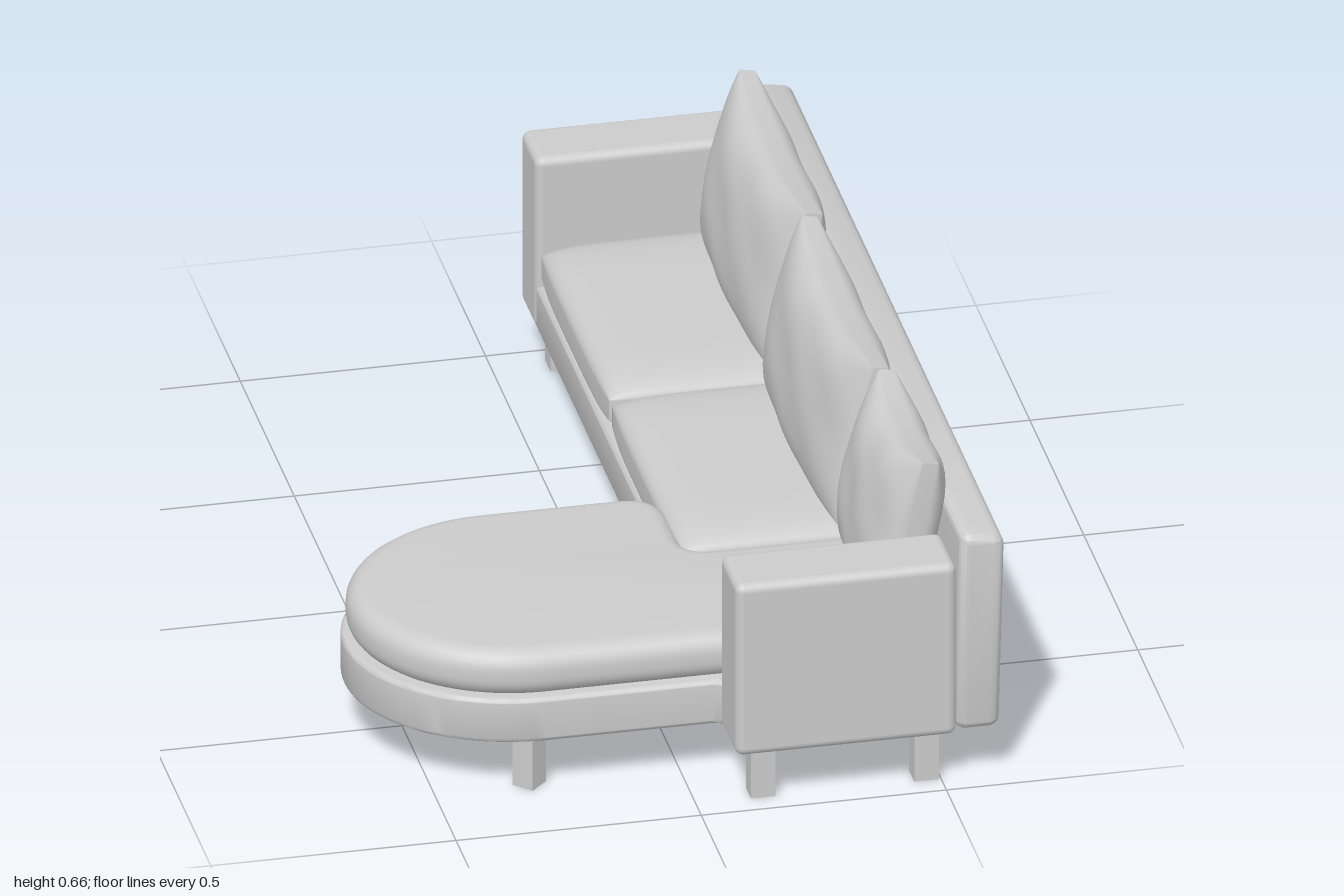
import * as THREE from 'three';
import { RoundedBoxGeometry } from 'three/addons/geometries/RoundedBoxGeometry.js';
import { mergeVertices, toCreasedNormals } from 'three/addons/utils/BufferGeometryUtils.js';

const material = new THREE.MeshStandardMaterial({ color: 0xcccccc });

function add(group, name, geometry, x = 0, y = 0, z = 0) {
  const mesh = new THREE.Mesh(geometry, material);
  mesh.name = name;
  mesh.position.set(x, y, z);
  group.add(mesh);
  return mesh;
}

// Stuffed cushion in the XY plane, thickest in the middle along Z.
// power: flatness of the faces, pinch: corner shape, sag: dip of the top edge
function cushion(w, h, t, { power, edge, pinch = 0, sag = 0, wrinkle = 0 }) {
  let g = new THREE.BoxGeometry(2, 2, 2, 32, 32, 2);
  g.deleteAttribute('uv');
  g.deleteAttribute('normal');
  g = mergeVertices(g);
  const p = g.attributes.position;
  for (let i = 0; i < p.count; i++) {
    const u = Math.sin(p.getX(i) * Math.PI / 2);
    const v = Math.sin(p.getY(i) * Math.PI / 2);
    const swell = Math.sqrt(Math.max(0, (1 - Math.abs(u) ** power) * (1 - Math.abs(v) ** power)));
    const fold = 1 + wrinkle * Math.sin(u * 7 + v * 2) * Math.cos(v * 4 - u);
    const z = p.getZ(i) * (edge + (t / 2 - edge) * swell * fold);
    const dip = v > 0 ? sag * (1 - u * u) * v * v : 0;
    p.setXYZ(i, u * w / 2 * (1 - pinch * v ** 4), v * h / 2 * (1 - pinch * u ** 4) - dip, z);
  }
  g.computeVertexNormals();
  return g;
}

// Plan outline (x, z) extruded upwards from y0 to y1 with rounded edges
function slab(shape, y0, y1, bevel) {
  const g = new THREE.ExtrudeGeometry(shape, {
    depth: y1 - y0 - 2 * bevel, bevelEnabled: true, bevelSize: bevel, bevelThickness: bevel,
    bevelOffset: -bevel, bevelSegments: 6, curveSegments: 24,
  });
  g.rotateX(Math.PI / 2).translate(0, y1 - bevel, 0);
  return toCreasedNormals(g, 0.6);
}

// Rounded chaise end, running from its far side round to its near side
function chaiseEnd(shape, tip, z0, z1) {
  const cx = -0.28;
  shape.lineTo(cx, z1);
  shape.absellipse(cx, (z0 + z1) / 2, cx - tip, (z1 - z0) / 2, Math.PI / 2, Math.PI * 1.5, false, 0);
}

export function createModel() {
  const sofa = new THREE.Group();
  sofa.name = 'chaiseSofa';

  // Base frame with chaise
  const base = new THREE.Shape();
  base.moveTo(0.075, -0.88);
  base.lineTo(0.54, -0.88);
  base.lineTo(0.54, 0.87);
  base.lineTo(0.09, 0.87);
  base.quadraticCurveTo(0.075, 0.85, 0.05, 0.85);
  chaiseEnd(base, -0.625, 0.21, 0.85);
  base.lineTo(0.03, 0.21);
  base.quadraticCurveTo(0.075, 0.21, 0.075, 0.165);
  base.closePath();
  add(sofa, 'base', slab(base, 0.12, 0.218, 0.01));

  // L-shaped chaise cushion
  const seat = new THREE.Shape();
  seat.moveTo(0.52, 0.465);
  seat.lineTo(0.52, 0.848);
  chaiseEnd(seat, -0.615, 0.215, 0.848);
  seat.lineTo(0.0, 0.215);
  seat.quadraticCurveTo(0.09, 0.22, 0.09, 0.31);
  seat.lineTo(0.09, 0.41);
  seat.quadraticCurveTo(0.09, 0.465, 0.145, 0.465);
  seat.closePath();
  add(sofa, 'chaiseCushion', slab(seat, 0.216, 0.318, 0.042));

  // Seat cushions
  for (const [z0, z1] of [[-0.862, -0.21], [-0.205, 0.457]]) {
    const g = cushion(0.46, z1 - z0, 0.125, { power: 6, edge: 0.022, pinch: 0.035 });
    g.rotateX(-Math.PI / 2);
    add(sofa, 'seatCushion', g, 0.303, 0.27, (z0 + z1) / 2);
  }

  // Leaning back cushions
  for (const [z0, z1, x] of [[-0.862, -0.232, 0.467], [-0.23, 0.438, 0.455], [0.442, 0.855, 0.465]]) {
    const g = cushion(z1 - z0, 0.365, 0.16, { power: 2.6, edge: 0.016, pinch: 0.01, sag: 0.026, wrinkle: 0.06 });
    g.rotateX(-0.2).rotateY(-Math.PI / 2);
    add(sofa, 'backCushion', g, x, 0.483, (z0 + z1) / 2);
  }

  // Armrests
  for (const [z0, z1] of [[-1, -0.86], [0.85, 1]]) {
    add(sofa, 'armrest', new RoundedBoxGeometry(0.45, 0.385, z1 - z0, 4, 0.018),
      0.297, 0.3125, (z0 + z1) / 2);
  }

  // Backrest, leaning slightly with a sloping top
  const back = new RoundedBoxGeometry(0.09, 0.435, 1.985, 5, 0.022);
  const p = back.attributes.position;
  for (let i = 0; i < p.count; i++) {
    const x = p.getX(i), y = p.getY(i);
    p.setXY(i, x + 0.025 * y, y - (y > 0 ? 0.14 * x : 0));
  }
  back.computeVertexNormals();
  add(sofa, 'backrest', toCreasedNormals(back, 0.6), 0.573, 0.339, -0.003);

  // Legs: four straight under the arms, two turned under the chaise
  const legs = [
    [0.137, 0.928, 0], [0.47, 0.928, 0], [0.137, -0.932, 0], [0.47, -0.932, 0],
    [-0.305, 0.792, Math.PI / 4], [-0.305, 0.385, Math.PI / 4],
  ];
  for (const [x, z, turn] of legs) {
    add(sofa, 'leg', new THREE.BoxGeometry(0.05, 0.125, 0.048), x, 0.0625, z).rotation.y = turn;
  }
  return sofa;
}
